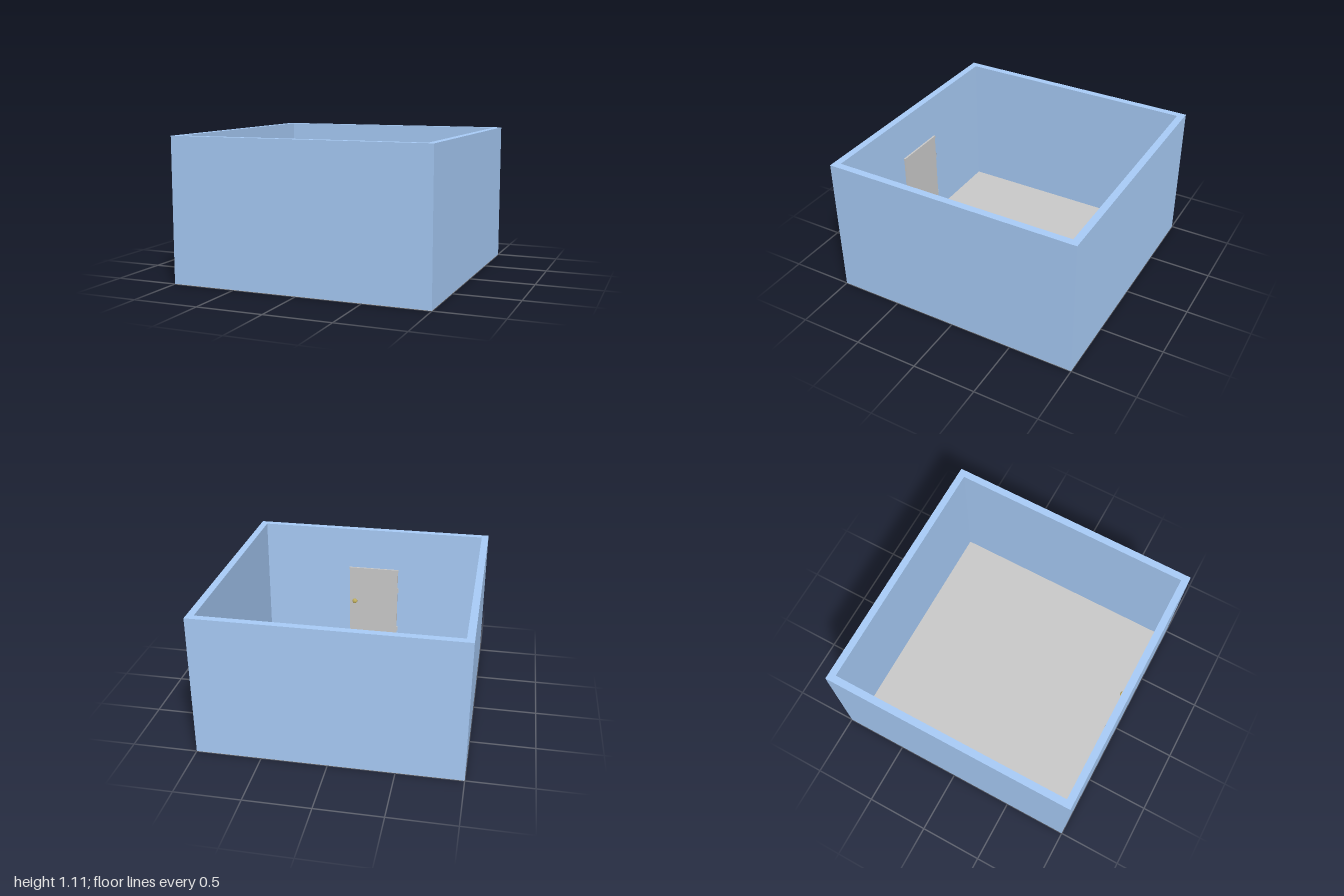
import * as THREE from 'three';

const grey = new THREE.MeshStandardMaterial({ color: 0xcccccc });
const blue = new THREE.MeshStandardMaterial({ color: 0xaacefa });
const brass = new THREE.MeshStandardMaterial({ color: 0xc8b560 });

const HALF = 1, HEIGHT = 1.11, WALL = 0.055, FLOOR = 0.002;
const INNER = HALF - WALL;

function add(parent, name, geometry, material, x = 0, y = 0, z = 0) {
  const mesh = new THREE.Mesh(geometry, material);
  mesh.name = name;
  mesh.position.set(x, y, z);
  parent.add(mesh);
  return mesh;
}

function square(path, h) {
  path.moveTo(-h, -h);
  path.lineTo(h, -h);
  path.lineTo(h, h);
  path.lineTo(-h, h);
  path.closePath();
  return path;
}

function createDoor() {
  const door = new THREE.Group();
  door.name = 'door';
  // Panel and the trim above it, flat against the inside of the front wall
  const left = -0.235, right = 0.195, top = 0.735;
  const width = right - left, middle = (left + right) / 2;
  add(door, 'doorPanel', new THREE.BoxGeometry(width, top - FLOOR, 0.013), grey,
    middle, (top + FLOOR) / 2, INNER - 0.0065);
  add(door, 'doorTrim', new THREE.BoxGeometry(width + 0.01, 0.02, 0.015), grey,
    middle, top + 0.01, INNER - 0.0075);

  // Knob: plate, stem and rounded grip turned on one axis, facing the room
  const profile = [[0, 0], [0.022, 0], [0.022, 0.003], [0.009, 0.004],
    [0.009, 0.008], [0.017, 0.011], [0.018, 0.016], [0.012, 0.02], [0, 0.021]]
    .map(([r, h]) => new THREE.Vector2(r, h));
  const knob = add(door, 'doorKnob', new THREE.LatheGeometry(profile, 24), brass,
    0.15, 0.43, INNER - 0.013);
  knob.rotation.x = -Math.PI / 2;

  // Hinges on the side away from the knob
  for (const y of [0.18, 0.56]) {
    add(door, 'doorHinge', new THREE.CylinderGeometry(0.006, 0.006, 0.04, 12), grey,
      left - 0.004, y, INNER - 0.007);
  }
  return door;
}

export function createModel() {
  const room = new THREE.Group();
  room.name = 'room';

  // Floor
  add(room, 'floor', new THREE.BoxGeometry(2 * HALF, FLOOR, 2 * HALF), grey, 0, FLOOR / 2, 0);

  // Four walls as one open square ring
  const ring = square(new THREE.Shape(), HALF);
  ring.holes.push(square(new THREE.Path(), INNER));
  const walls = new THREE.ExtrudeGeometry(ring, { depth: HEIGHT - FLOOR, bevelEnabled: false });
  walls.rotateX(-Math.PI / 2);
  add(room, 'walls', walls, blue, 0, FLOOR, 0);

  room.add(createDoor());
  return room;
}
